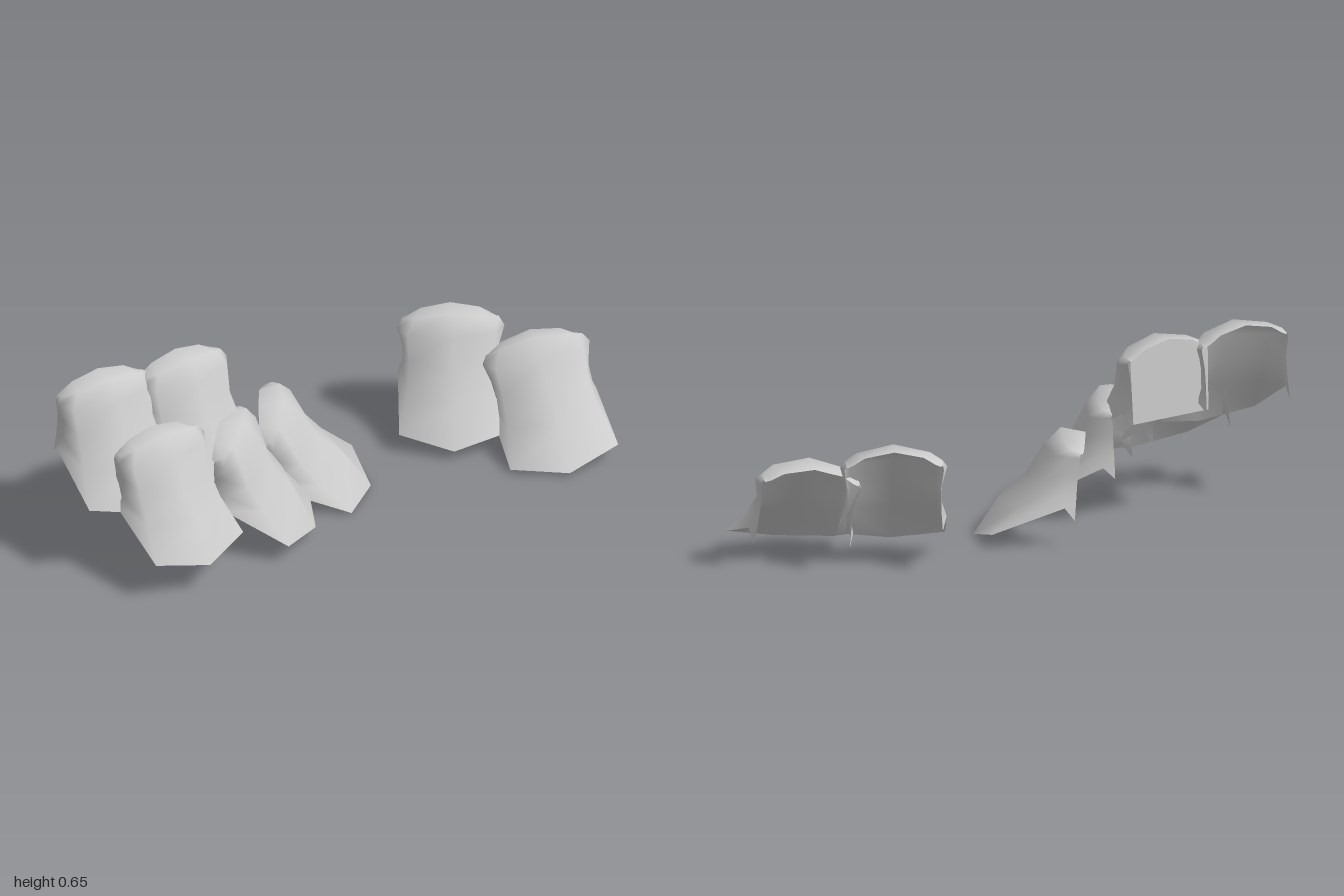
import * as THREE from 'three';

// Right half of each cross-section, from the middle ridge to the back edge, [x, y, z];
// rows run from the flared lower rim, past a narrow waist, up to the lip that folds backwards.
const ROWS = [
  [[0, 0, 0], [0.185, 0.035, -0.06], [0.18, 0.155, -0.29], [0.165, 0.115, -0.33]],
  [[0, 0.14, -0.067], [0.155, 0.145, -0.15], [0.165, 0.2, -0.275], [0.16, 0.19, -0.325]],
  [[0, 0.23, -0.145], [0.145, 0.235, -0.205], [0.165, 0.265, -0.275], [0.16, 0.265, -0.32]],
  [[0, 0.335, -0.195], [0.15, 0.325, -0.232], [0.183, 0.33, -0.28], [0.17, 0.33, -0.32]],
  [[0, 0.4, -0.245], [0.125, 0.375, -0.26], [0.165, 0.355, -0.29], [0.165, 0.345, -0.32]],
  [[0, 0.395, -0.33], [0.1, 0.375, -0.33], [0.14, 0.35, -0.33], [0.16, 0.34, -0.325]],
];

// Open curved shell, mirrored about its middle ridge
function plateGeometry() {
  const positions = [], index = [];
  for (const half of ROWS) {
    const left = half.slice(1).reverse().map(([x, y, z]) => [-x, y, z]);
    for (const p of [...left, ...half]) positions.push(...p);
  }
  const cols = 7;
  for (let j = 0; j < ROWS.length - 1; j++) {
    for (let i = 0; i < cols - 1; i++) {
      const a = j * cols + i, b = a + 1, c = a + cols, d = c + 1;
      index.push(a, b, d, a, d, c);
    }
  }
  const geo = new THREE.BufferGeometry();
  geo.setAttribute('position', new THREE.Float32BufferAttribute(positions, 3));
  geo.setIndex(index);
  geo.computeVertexNormals();
  return geo;
}

// Flat panel that closes the upper back of a plate
function backPanelGeometry() {
  const shape = new THREE.Shape();
  [[-0.16, 0.12], [0.16, 0.12], [0.165, 0.34], [0.1, 0.375], [0, 0.395], [-0.1, 0.375], [-0.165, 0.34]]
    .forEach(([x, y], i) => (i ? shape.lineTo(x, y) : shape.moveTo(x, y)));
  return new THREE.ShapeGeometry(shape).translate(0, 0, -0.328);
}

// Placement of each plate: rim tip position, yaw, pitch, roll, scale
const PLATES = [
  { name: 'upperRightPlate', tip: [-0.815, 0.238, -0.025], yaw: -0.1, pitch: 0.05, roll: 0, scale: 1.01 },
  { name: 'upperInnerPlate', tip: [-0.49, 0.235, 0.02], yaw: 0, pitch: 0.05, roll: 0, scale: 1, closed: true },
  { name: 'middleRightPlate', tip: [-0.715, 0.11, 0.21], yaw: 0, pitch: 0, roll: 0, scale: 1 },
  { name: 'middleInnerPlate', tip: [-0.21, 0.04, 0.135], yaw: 0.75, pitch: 0, roll: 0.04, scale: 1 },
  { name: 'centrePlate', tip: [0.14, 0.002, -0.02], yaw: 0.91, pitch: -0.13, roll: 0.12, scale: 1.01 },
  { name: 'leftBackPlate', tip: [0.465, 0.037, 0.02], yaw: -0.6, pitch: 0, roll: 0, scale: 1 },
  { name: 'leftFrontPlate', tip: [0.717, 0.015, 0.34], yaw: -0.42, pitch: -0.17, roll: 0.12, scale: 1.03 },
];

export function createModel() {
  const group = new THREE.Group();
  group.name = 'curvedPlates';
  const material = new THREE.MeshStandardMaterial({ color: 0xcccccc, side: THREE.DoubleSide });
  const geometry = plateGeometry();
  for (const { name, tip, yaw, pitch, roll, scale, closed } of PLATES) {
    const plate = new THREE.Mesh(geometry, material);
    plate.name = name;
    plate.position.set(...tip);
    plate.rotation.set(pitch, yaw, roll, 'YXZ');
    plate.scale.setScalar(scale);
    if (closed) {
      const panel = new THREE.Mesh(backPanelGeometry(), material);
      panel.name = 'backPanel';
      plate.add(panel);
    }
    group.add(plate);
  }
  return group;
}
